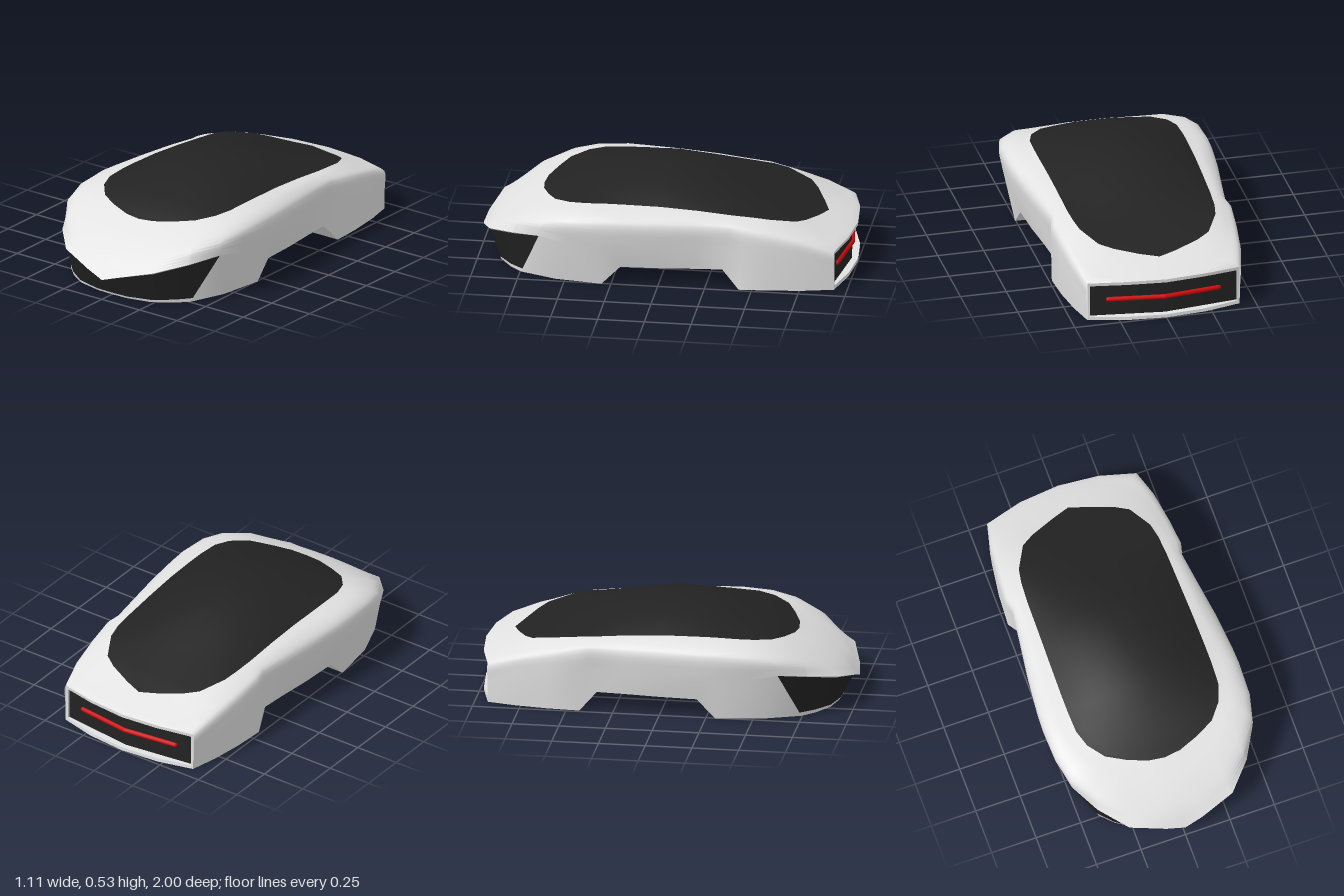
import * as THREE from 'three';
import { toCreasedNormals } from 'three/addons/utils/BufferGeometryUtils.js';

const V = (x, y, z) => new THREE.Vector3(x, y, z);
const ring = (rows) => rows.map((p) => V(...p));

// Half rings on the +x side, each running from front centre to rear centre
const sill = ring([
  [0, 0, 0.91], [0.1, 0, 0.905], [0.23, 0, 0.875], [0.33, 0, 0.81], [0.395, 0, 0.745], [0.47, 0, 0.55],
  [0.505, 0, 0.3], [0.5, 0.1, 0.2], [0.49, 0.1, 0], [0.47, 0.1, -0.2], [0.46, 0.1, -0.34], [0.485, 0, -0.43],
  [0.475, 0, -0.6], [0.45, 0, -0.78], [0.415, 0, -0.93], [0.22, 0, -0.98], [0, 0, -1],
]);
const maskTop = ring([
  [0, 0.11, 0.965], [0.1, 0.14, 0.96], [0.28, 0.185, 0.92], [0.415, 0.225, 0.785], [0.507, 0.255, 0.635],
]);
const belt = ring([
  [0, 0.11, 1], [0.1, 0.142, 0.985], [0.29, 0.195, 0.93], [0.42, 0.232, 0.79], [0.507, 0.255, 0.635], [0.53, 0.23, 0.48],
  [0.54, 0.22, 0.3], [0.535, 0.22, 0.2], [0.515, 0.22, 0], [0.49, 0.22, -0.2], [0.468, 0.22, -0.38], [0.494, 0.2, -0.45],
  [0.484, 0.19, -0.6], [0.46, 0.17, -0.78], [0.418, 0.12, -0.93], [0.22, 0.21, -1], [0, 0.21, -1.02],
]);
const shoulder = ring([
  [0, 0.2, 0.93], [0.1, 0.207, 0.92], [0.27, 0.24, 0.865], [0.41, 0.295, 0.755], [0.51, 0.325, 0.62], [0.545, 0.345, 0.48],
  [0.55, 0.35, 0.3], [0.545, 0.35, 0.2], [0.525, 0.35, 0], [0.497, 0.345, -0.2], [0.473, 0.34, -0.38], [0.487, 0.335, -0.45],
  [0.475, 0.305, -0.6], [0.452, 0.265, -0.78], [0.415, 0.215, -0.93], [0.22, 0.225, -0.98], [0, 0.225, -1],
]);
const deck = ring([
  [0, 0.285, 0.81], [0.1, 0.29, 0.8], [0.25, 0.315, 0.74], [0.38, 0.355, 0.65], [0.46, 0.375, 0.56], [0.5, 0.385, 0.46],
  [0.515, 0.39, 0.3], [0.505, 0.39, 0.2], [0.47, 0.395, 0], [0.455, 0.385, -0.2], [0.44, 0.37, -0.38], [0.445, 0.36, -0.47],
  [0.425, 0.33, -0.62], [0.39, 0.295, -0.76], [0.33, 0.26, -0.86], [0.2, 0.255, -0.91], [0, 0.255, -0.93],
]);
const glassEdge = ring([
  [0, 0.355, 0.675], [0.09, 0.36, 0.665], [0.2, 0.372, 0.625], [0.3, 0.387, 0.575], [0.37, 0.403, 0.49], [0.4, 0.413, 0.4],
  [0.405, 0.418, 0.28], [0.405, 0.418, 0.18], [0.402, 0.415, 0], [0.397, 0.402, -0.2], [0.393, 0.385, -0.38], [0.385, 0.375, -0.5],
  [0.37, 0.362, -0.58], [0.3, 0.33, -0.71], [0.23, 0.315, -0.755], [0.1, 0.295, -0.81], [0, 0.285, -0.845],
]);
// Roof centre height at each station of the glass edge
const spine = [0.355, 0.36, 0.38, 0.403, 0.435, 0.462, 0.497, 0.513, 0.527, 0.5, 0.443, 0.402, 0.374, 0.332, 0.317, 0.296, 0.285];

// Skin a grid of columns and its mirror image
function skin(tris, cols) {
  const add = (a, b, c) => {
    tris.push(a.x, a.y, a.z, b.x, b.y, b.z, c.x, c.y, c.z);
    tris.push(-a.x, a.y, a.z, -c.x, c.y, c.z, -b.x, b.y, b.z);
  };
  for (let i = 0; i < cols.length - 1; i++) {
    for (let j = 0; j < cols[i].length - 1; j++) {
      const a = cols[i][j], b = cols[i][j + 1], c = cols[i + 1][j], d = cols[i + 1][j + 1];
      add(a, c, b);
      add(b, c, d);
    }
  }
}

function surface(name, material, crease, ...grids) {
  const tris = [];
  grids.forEach((g) => skin(tris, g));
  const geo = new THREE.BufferGeometry();
  geo.setAttribute('position', new THREE.Float32BufferAttribute(tris, 3));
  const mesh = new THREE.Mesh(toCreasedNormals(geo, crease), material);
  mesh.name = name;
  return mesh;
}

const zip = (...rings) => rings[0].map((_, i) => rings.map((r) => r[i]));

export function createModel() {
  const paint = (name, color) => {
    const m = new THREE.MeshStandardMaterial({ color, side: THREE.DoubleSide });
    m.name = name;
    return m;
  };
  const white = paint('white paint', 0xe2e2e2);
  const black = paint('black glass', 0x222222);
  const red = paint('red light', 0xcc0808);
  const car = new THREE.Group();
  car.name = 'car';

  // Upper shell: curved columns from belt over the shoulder to the glass
  const K = 4;
  const columns = belt.map((b, i) =>
    new THREE.CatmullRomCurve3([b, shoulder[i], deck[i], glassEdge[i]]).getPoints(3 * K));
  const flanks = columns.slice(0, 15).map((c) => c.slice(0, K + 1));
  const tops = columns.map((c) => c.slice(K));

  // Lower walls, front lip and the underside of the hood edge
  const walls = zip(sill.slice(4, 15), belt.slice(4, 15));
  const lip = maskTop.map((p, i) => sill[i].clone().lerp(p, i === 0 ? 0.12 : 0.08));
  const frontLip = zip(sill.slice(0, 5), lip);
  const hoodEdge = zip(maskTop, belt.slice(0, 5));
  const floor = sill.map((p) => [V(0, p.y, p.z), p]);
  car.add(surface('bodyShell', white, 0.7, flanks, tops, walls, frontLip, hoodEdge, floor));

  // Glass canopy, arched from its edge to the spine
  const canopy = glassEdge.map((e, i) => Array.from({ length: 9 }, (_, j) => {
    const t = 1 - j / 8;
    return V(e.x * t, e.y + (spine[i] - e.y) * (1 - t * t), e.z);
  }));
  car.add(surface('canopy', black, 0.7, canopy));

  // Dark front mask
  car.add(surface('frontMask', black, 0.7, zip(lip, maskTop)));

  // Rear frame with a recessed panel
  const outer = [16, 15, 14].map((i) => shoulder[i]).concat([14, 15, 16].map((i) => sill[i]));
  const inner = outer.map((p, i) => V(p.x * 0.965, p.y + (i < 3 ? -0.018 : 0.018), p.z));
  const recess = inner.map((p) => V(p.x, p.y, -0.967 + p.x * 0.125));
  car.add(surface('rearFrame', white, 0.5, zip(outer, inner), zip(inner, recess)));
  car.add(surface('rearPanel', black, 0.5, zip(recess.slice(0, 3), recess.slice(3).reverse())));

  // Tail light: two angled bars with round ends
  const light = new THREE.Group();
  light.name = 'tailLight';
  for (const s of [-1, 1]) {
    const mid = V(0, 0.11, -0.97), end = V(s * 0.3, 0.11, -0.932);
    const bar = new THREE.Mesh(new THREE.CapsuleGeometry(0.013, mid.distanceTo(end), 4, 10), red);
    bar.name = 'tailLightBar';
    bar.position.copy(mid).lerp(end, 0.5);
    bar.quaternion.setFromUnitVectors(V(0, 1, 0), end.clone().sub(mid).normalize());
    light.add(bar);
  }
  car.add(light);
  return car;
}
